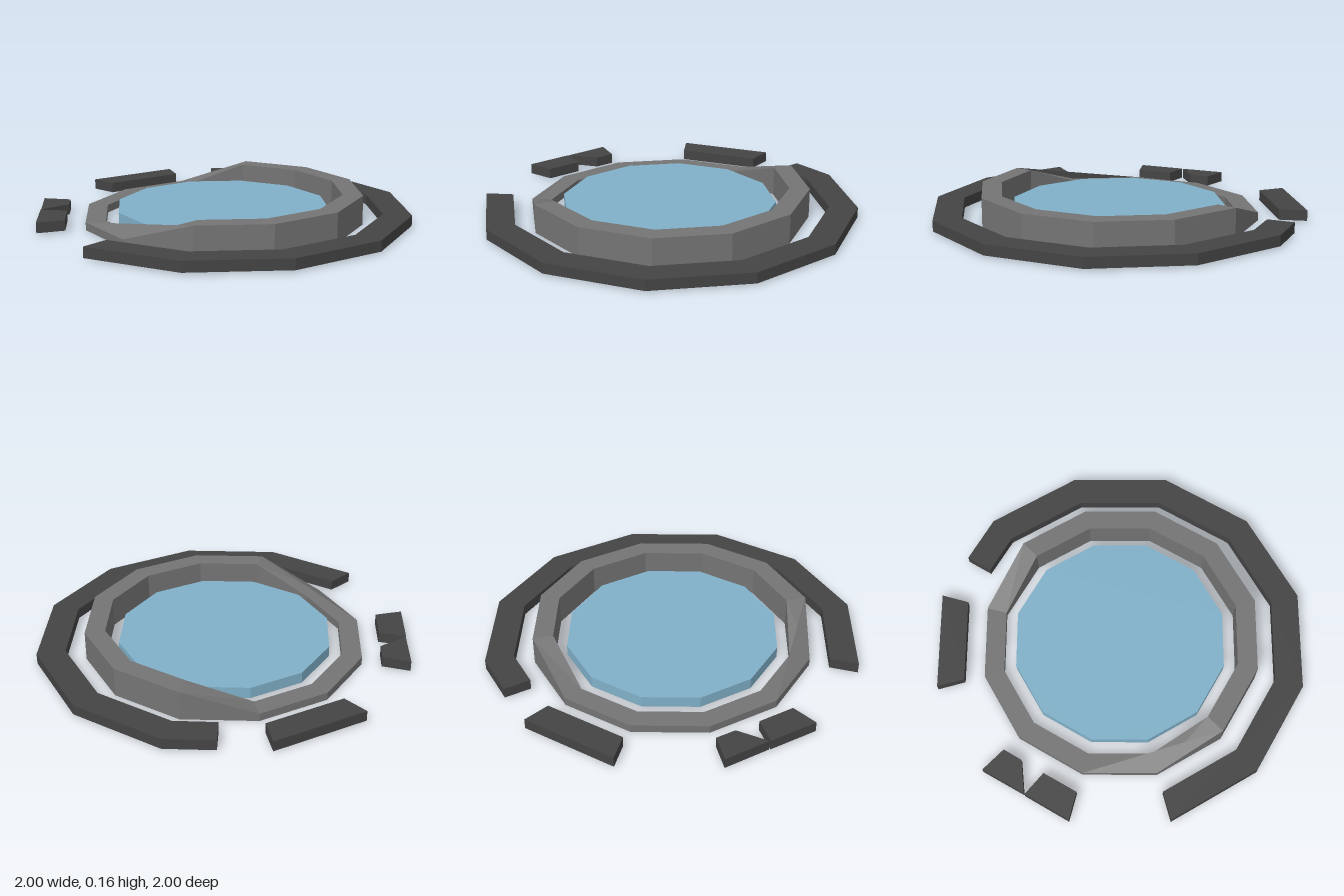
import * as THREE from 'three';

const mat = (color) => new THREE.MeshStandardMaterial({ color, flatShading: true, side: THREE.DoubleSide });
const stone = mat(0x444444), rim = mat(0x747474), water = mat(0x80b0c8);

// Point on a twelve-sided ring: step 0 is the front, counting towards +x
const ringPoint = (r, k) => [r * Math.sin(k * Math.PI / 6), r * Math.cos(k * Math.PI / 6)];

// Upright slab with a floor outline of [x, z] points
function slab(name, outline, y0, y1, material) {
  const shape = new THREE.Shape(outline.map(([x, z]) => new THREE.Vector2(x, -z)));
  const geo = new THREE.ExtrudeGeometry(shape, { depth: y1 - y0, bevelEnabled: false });
  geo.rotateX(-Math.PI / 2).translate(0, y0, 0);
  const mesh = new THREE.Mesh(geo, material);
  mesh.name = name;
  return mesh;
}

function meshFrom(name, positions, material) {
  const geo = new THREE.BufferGeometry();
  geo.setAttribute('position', new THREE.Float32BufferAttribute(positions, 3));
  geo.computeVertexNormals();
  const mesh = new THREE.Mesh(geo, material);
  mesh.name = name;
  return mesh;
}

// Inner rim: full height on the +x half, broken down low on the -x half
const RIM_TOP = 0.16, RIM_LOW = 0.045;
function rimSection(k) {
  const [ox, oz] = ringPoint(0.745, k % 12), [ix, iz] = ringPoint(0.638, k % 12);
  const top = ox < -0.1 ? RIM_LOW : RIM_TOP;
  return [[ox, 0.003, oz], [ox, top, oz], [ix, top, iz], [ix, 0.003, iz]];
}

function createRim() {
  const pos = [];
  for (let k = 0; k < 12; k++) {
    const s = rimSection(k), t = rimSection(k + 1);
    for (let j = 0; j < 4; j++) {
      const n = (j + 1) % 4;
      pos.push(...s[j], ...t[j], ...t[n], ...s[j], ...t[n], ...s[n]);
    }
  }
  return meshFrom('rim', pos, rim);
}

export function createModel() {
  const group = new THREE.Group();

  // Broken outer kerb: long arc and three loose pieces
  const outer = [[-0.25, -0.934]], inner = [[-0.214, -0.795]];
  for (let k = 6; k >= -1; k--) {
    outer.push(ringPoint(1, k));
    inner.push(ringPoint(0.85, k));
  }
  const pieces = {
    kerbArc: [...outer, ...inner.reverse()],
    kerbBackPiece: [[-0.5, -0.866], [-0.866, -0.5], [-0.738, -0.428], [-0.428, -0.738]],
    kerbSidePiece: [[-1, 0], [-0.85, 0], [-0.823, 0.105], [-0.933, 0.24]],
    kerbFrontPiece: [[-0.934, 0.246], [-0.79, 0.235], [-0.738, 0.425], [-0.866, 0.5]],
  };
  for (const [name, outline] of Object.entries(pieces)) {
    group.add(slab(name, outline, 0.01, 0.066, stone));
  }

  // Rim and the sloping sheet where it has collapsed
  group.add(createRim());
  const a = rimSection(0)[1], b = rimSection(11)[1], c = rimSection(10)[1];
  group.add(meshFrom('rimSlope', [...a, ...c, ...b], rim));

  // Pool
  const pool = Array.from({ length: 12 }, (_, k) => ringPoint(0.57, k));
  group.add(slab('water', pool, 0.02, 0.08, water));
  return group;
}
